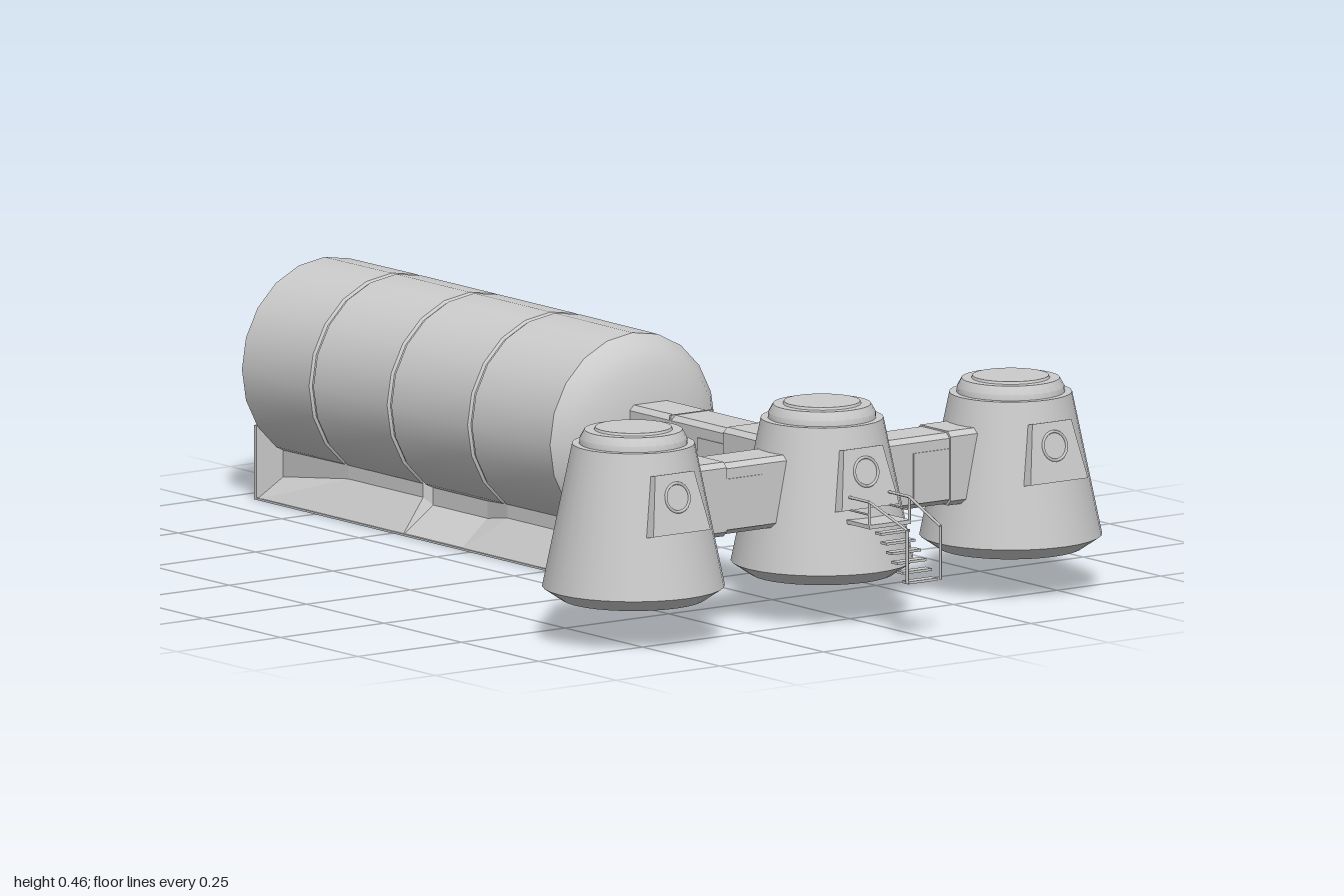
import * as THREE from 'three';
import { toCreasedNormals } from 'three/addons/utils/BufferGeometryUtils.js';

const grey = new THREE.MeshStandardMaterial({ color: 0xcccccc });
const thin = new THREE.MeshStandardMaterial({ color: 0xcccccc, side: THREE.DoubleSide, flatShading: true });

function add(parent, name, geo, x = 0, y = 0, z = 0, mat = grey) {
  const m = new THREE.Mesh(geo, mat);
  m.name = name;
  m.position.set(x, y, z);
  parent.add(m);
  return m;
}
const box = (p, name, w, h, d, x, y, z) => add(p, name, new THREE.BoxGeometry(w, h, d), x, y, z);

function lathe(points, sides, crease = 0.45) {
  const pts = points.map(([r, y]) => new THREE.Vector2(r, y));
  return toCreasedNormals(new THREE.LatheGeometry(pts, sides), crease);
}

// Round bar between two points
function bar(p, name, a, b, r = 0.003) {
  const A = new THREE.Vector3(...a), B = new THREE.Vector3(...b);
  const m = add(p, name, new THREE.CylinderGeometry(r, r, A.distanceTo(B), 6));
  m.position.copy(A).add(B).multiplyScalar(0.5);
  m.quaternion.setFromUnitVectors(new THREE.Vector3(0, 1, 0), B.sub(A).normalize());
}

// Tapered cabin with a stepped lid and a sloping front hatch
function makePod(name, x) {
  const pod = new THREE.Group();
  pod.name = name;
  pod.position.set(x, 0, 0.667);
  add(pod, 'podShell', lathe([
    [0, 0.08], [0.14, 0.08], [0.177, 0.105], [0.119, 0.385], [0.105, 0.385],
    [0.104, 0.396], [0.095, 0.412], [0.076, 0.412], [0.074, 0.417], [0, 0.417],
  ], 32));

  const hatch = new THREE.Group();
  hatch.name = 'hatch';
  hatch.position.set(0, 0.225, 0.134);
  hatch.rotation.x = -0.208;
  const s = new THREE.Shape();
  [[-0.069, 0], [0.069, 0], [0.047, 0.117], [-0.047, 0.117]].forEach(([a, b], i) => i ? s.lineTo(a, b) : s.moveTo(a, b));
  add(hatch, 'hatchPanel', new THREE.ExtrudeGeometry(s, { depth: 0.024, bevelEnabled: false }));
  add(hatch, 'portholeRim', new THREE.TorusGeometry(0.028, 0.003, 6, 24), 0, 0.07, 0.024);
  pod.add(hatch);
  return pod;
}

// Chamfered corridor running along +z from the origin, with a flared collar at its far end
function makeCorridor(name, length, collar) {
  const g = new THREE.Group();
  g.name = name;
  const section = (w, h, c) => {
    const s = new THREE.Shape();
    [[w - c, -h], [w, c - h], [w, h - c], [w - c, h], [c - w, h], [-w, h - c], [-w, c - h], [c - w, -h]]
      .forEach(([a, b], i) => i ? s.lineTo(a, b) : s.moveTo(a, b));
    return s;
  };
  const ext = (s, depth) => new THREE.ExtrudeGeometry(s, { depth, bevelEnabled: false });
  add(g, 'corridorTube', ext(section(0.05, 0.07, 0.01), length));
  add(g, 'corridorCollar', ext(section(0.054, 0.073, 0.01), collar), 0, 0, length - collar);
  for (const side of [-1, 1])
    box(g, 'corridorPanel', 0.004, 0.1, 0.085, side * 0.05, -0.01, length - collar - 0.045);
  return g;
}

// Cradle under the tank: end plates, floor and sloping recessed sides
function makeCradle() {
  const g = new THREE.Group();
  g.name = 'cradle';
  box(g, 'cradleFloor', 0.33, 0.004, 1.0, 0, 0.002, -0.447);
  box(g, 'frontPlate', 0.33, 0.146, 0.008, 0, 0.073, 0.049);
  box(g, 'backPlate', 0.33, 0.146, 0.008, 0, 0.073, -0.943);
  // z, height and half width where ledge meets wall
  const stations = [[0.05, 0.07, 0.115], [-0.195, 0.07, 0.115], [-0.28, 0.055, 0.1], [-0.455, 0.055, 0.1],
    [-0.467, 0.07, 0.115], [-0.71, 0.07, 0.115], [-0.94, 0.038, 0.1]];
  for (const side of [-1, 1]) {
    const pos = [], idx = [];
    stations.forEach(([z, y, w], i) => {
      pos.push(side * 0.165, 0, z, side * w, y, z, side * w, 0.13, z);
      if (i) for (let k = 0; k < 2; k++) {
        const a = (i - 1) * 3 + k, b = a + 3;
        if (side > 0) idx.push(a, b, a + 1, b, b + 1, a + 1);
        else idx.push(a, a + 1, b, b, a + 1, b + 1);
      }
    });
    const geo = new THREE.BufferGeometry();
    geo.setAttribute('position', new THREE.Float32BufferAttribute(pos, 3));
    geo.setIndex(idx);
    geo.computeVertexNormals();
    add(g, 'cradleSide', geo, 0, 0, 0, thin);
  }
  return g;
}

// Landing, treads and handrails in front of the middle pod
function makeStairs() {
  const g = new THREE.Group();
  g.name = 'stairs';
  box(g, 'landing', 0.1, 0.008, 0.075, 0, 0.206, 0.85);
  for (let i = 0; i < 6; i++)
    box(g, 'tread', 0.07, 0.005, 0.02, 0, 0.193 - i * 0.0165, 0.895 + i * 0.0175);
  for (const s of [-1, 1]) {
    const x = s * 0.04, o = s * 0.048;
    bar(g, 'landingRail', [o, 0.255, 0.82], [o, 0.255, 0.885]);
    bar(g, 'landingMidRail', [o, 0.23, 0.82], [o, 0.23, 0.885], 0.002);
    bar(g, 'landingPost', [o, 0.205, 0.885], [o, 0.255, 0.885]);
    bar(g, 'stairRail', [o, 0.255, 0.885], [x, 0.215, 0.996]);
    bar(g, 'stairPost', [x, 0.11, 0.996], [x, 0.215, 0.996]);
  }
  return g;
}

export function createModel() {
  const model = new THREE.Group();
  const base = new THREE.Group();
  base.name = 'outpost';
  base.position.x = -0.005;
  model.add(base);

  // Segmented tank with domed ends and narrow grooves
  const profile = [[0, -1], [0.08, -0.997], [0.135, -0.985], [0.175, -0.968], [0.199, -0.94]];
  for (const z of [-0.715, -0.463, -0.203])
    profile.push([0.2, z - 0.007], [0.195, z - 0.003], [0.195, z + 0.003], [0.2, z + 0.007]);
  profile.push([0.199, 0.055], [0.175, 0.083], [0.135, 0.102], [0.08, 0.113], [0, 0.116]);
  const tank = add(base, 'tank', lathe(profile, 20, 0.6), 0, 0.26, 0);
  tank.rotation.x = Math.PI / 2;
  base.add(makeCradle());

  base.add(makePod('rightPod', -0.455), makePod('middlePod', 0), makePod('leftPod', 0.455));

  // Corridors from the middle pod to the tank and to both side pods
  const rear = makeCorridor('rearCorridor', 0.47, 0.13);
  rear.position.set(0, 0.26, 0.08);
  base.add(rear);
  box(rear, 'corridorSeam', 0.102, 0.142, 0.004, 0, 0, 0.165);
  for (const s of [-1, 1]) {
    const c = makeCorridor('sideCorridor', 0.26, 0.09);
    c.position.set(s * 0.1, 0.26, 0.667);
    c.rotation.y = s * Math.PI / 2;
    base.add(c);
  }
  base.add(makeStairs());
  return model;
}
